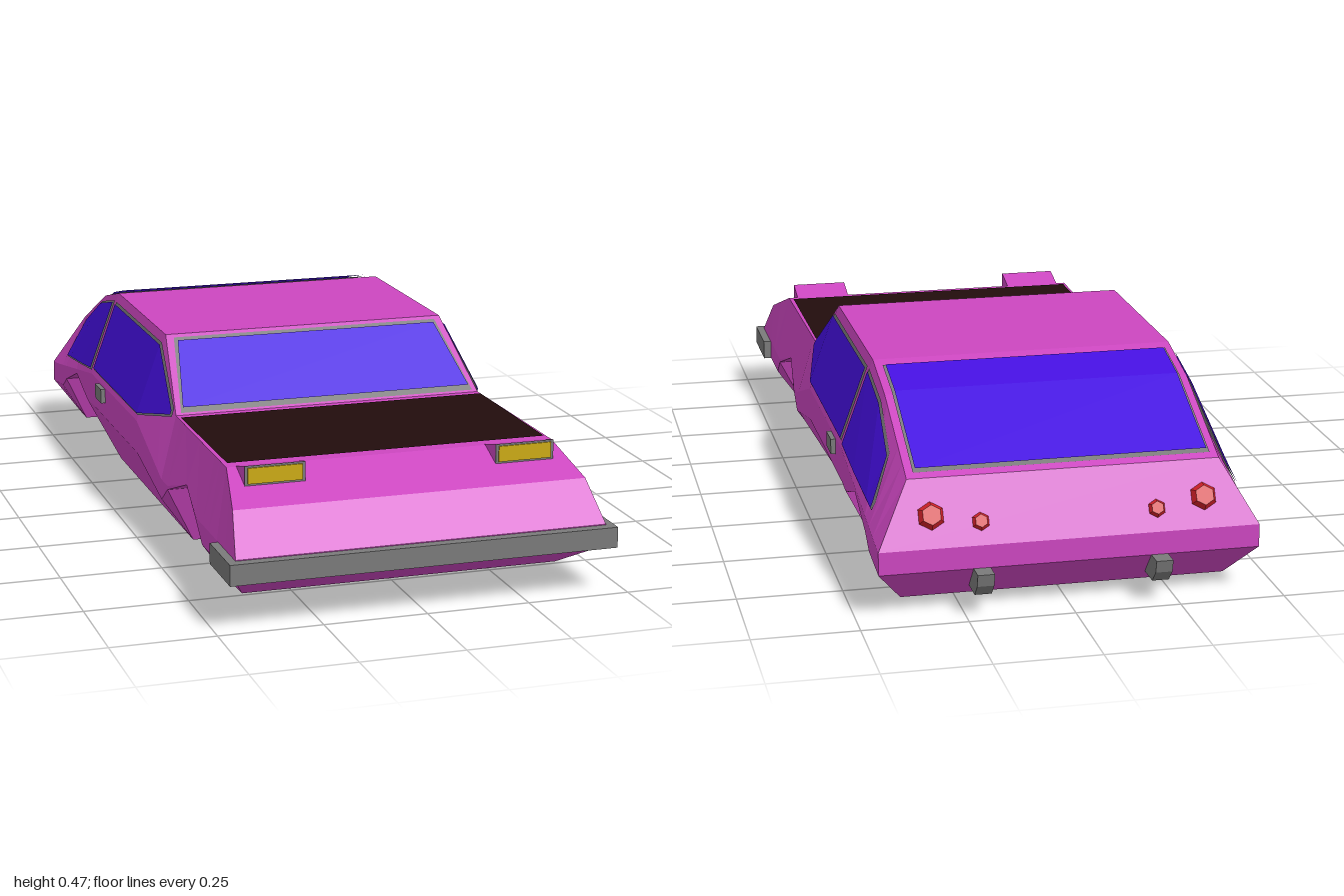
import * as THREE from 'three';

const mat = (name, color, side = THREE.FrontSide) => {
  const m = new THREE.MeshStandardMaterial({ color, side });
  m.name = name;
  return m;
};

// Body profiles along the car, each a list of [z, value] from front to back
const floorY = [[0.975, 0.113], [0.82, 0.03], [0.69, 0.012], [0.31, 0], [-0.57, 0], [-0.88, 0.025], [-0.955, 0.11]];
const waistY = [[0.975, 0.113], [0.31, 0.113], [0.06, 0.165], [-0.45, 0.165], [-0.955, 0.11]];
const shoulderY = [[0.975, 0.163], [0.31, 0.165], [0.06, 0.25], [-0.45, 0.25], [-0.955, 0.163]];
const topY = [[0.975, 0.165], [0.89, 0.255], [0.745, 0.313], [0.27, 0.313], [0.06, 0.47], [-0.45, 0.47],
  [-0.61, 0.43], [-0.88, 0.31], [-0.955, 0.165]];
const topX = [[0.975, 0.45], [0.89, 0.432], [0.745, 0.405], [0.27, 0.4], [0.06, 0.37], [-0.88, 0.37], [-0.955, 0.45]];
const archY = [[0.69, 0], [0.64, 0.155], [0.505, 0.205], [0.37, 0.155], [0.31, 0],
  [-0.46, 0], [-0.5, 0.155], [-0.64, 0.205], [-0.78, 0.155], [-0.83, 0]];
const WIDE = 0.45, WELL = 0.26;

function at(list, z) {
  if (z >= list[0][0]) return list[0][1];
  for (let i = 1; i < list.length; i++) {
    const [z0, a] = list[i - 1], [z1, b] = list[i];
    if (z >= z1) return a + (b - a) * (z0 - z) / (z0 - z1);
  }
  return list[list.length - 1][1];
}

// Half-width of the body side at a given length and height
function sideX(z, y) {
  const w = at(waistY, z), s = at(shoulderY, z), t = at(topY, z);
  if (y <= w) return 0.37 + (WIDE - 0.37) * y / w;
  if (y <= s) return WIDE;
  return WIDE + (at(topX, z) - WIDE) * Math.min(1, (y - s) / (t - s));
}

function flatGeometry(tris) {
  const g = new THREE.BufferGeometry();
  g.setAttribute('position', new THREE.Float32BufferAttribute(tris.flat(), 3));
  g.computeVertexNormals();
  return g;
}

// Loft of the whole shell, with the wheel wells cut into the section
function bodyGeometry() {
  const zs = [...new Set([floorY, waistY, topY, archY].flat().map(p => p[0]))].sort((a, b) => b - a);
  const rings = zs.map(z => {
    const yb = at(floorY, z), h = Math.max(yb, at(archY, z));
    const yw = Math.max(h, at(waistY, z)), ys = Math.max(h, at(shoulderY, z));
    const half = [[WELL, yb], [WELL, h], [sideX(z, h), h], [sideX(z, yw), yw], [sideX(z, ys), ys],
      [at(topX, z), at(topY, z)]];
    return [...half, ...half.map(([x, y]) => [-x, y]).reverse()].map(([x, y]) => [x, y, z]);
  });
  const tris = [], n = rings[0].length;
  for (let i = 0; i < rings.length - 1; i++) {
    for (let j = 0; j < n; j++) {
      const k = (j + 1) % n, r = rings[i], s = rings[i + 1];
      tris.push(r[j], s[j], r[k], r[k], s[j], s[k]);
    }
  }
  const front = rings[0], back = rings[rings.length - 1];
  for (let k = 1; k < n - 1; k++) {
    tris.push(front[0], front[k], front[k + 1], back[0], back[k + 1], back[k]);
  }
  return flatGeometry(tris);
}

// Sheet joining successive pairs of points
function strip(pairs) {
  const tris = [];
  for (let i = 0; i < pairs.length - 1; i++) {
    const [a, b] = pairs[i], [c, d] = pairs[i + 1];
    tris.push(a, c, b, b, c, d);
  }
  return flatGeometry(tris);
}

// Sheet lying on the top of the body: rows of [z, half-width]
const topSheet = (rows, lift) => strip(rows.map(([z, x]) => {
  const y = at(topY, z) + lift;
  return [[x, y, z], [-x, y, z]];
}));

// Sheet lying on a body side: columns of [z, low, high]
const sideSheet = (cols, s, lift) => strip(cols.map(([z, lo, hi]) =>
  [lo, hi].map(y => [s * (sideX(z, y) + lift), y, z])));

// Side outline [z, y] extruded across x
function prism(points, width) {
  const shape = new THREE.Shape(points.map(([z, y]) => new THREE.Vector2(-z, y)));
  const g = new THREE.ExtrudeGeometry(shape, { depth: width, bevelEnabled: false });
  return g.translate(0, 0, -width / 2).rotateY(Math.PI / 2);
}

export function createModel() {
  const paint = mat('magenta paint', 0xcc46c0);
  const glass = mat('blue glass', 0x450fe0, THREE.DoubleSide);
  const trim = mat('grey metal', 0x7a7a7a, THREE.DoubleSide);
  const black = mat('black hood', 0x220d0d, THREE.DoubleSide);
  const yellow = mat('yellow lamp', 0xccaa11);
  const red = mat('red lamp', 0xd02028);

  const car = new THREE.Group();
  car.name = 'car';
  const add = (name, geometry, material, x = 0, y = 0, z = 0) => {
    const m = new THREE.Mesh(geometry, material);
    m.name = name;
    m.position.set(x, y, z);
    car.add(m);
    return m;
  };

  add('body', bodyGeometry(), paint);
  add('hoodPanel', topSheet([[0.72, 0.396], [0.3, 0.396]], 0.003), black);
  add('frontBumper', new THREE.BoxGeometry(0.94, 0.05, 0.17), trim, 0, 0.138, 0.915);

  // Windscreen and rear window, each on a slightly larger frame
  add('windscreenFrame', topSheet([[0.267, 0.386], [0.072, 0.352]], 0.003), trim);
  add('windscreen', topSheet([[0.258, 0.379], [0.085, 0.345]], 0.008), glass);
  add('rearWindowFrame', topSheet([[-0.483, 0.352], [-0.61, 0.352], [-0.865, 0.352]], 0.003), trim);
  add('rearWindow', topSheet([[-0.49, 0.346], [-0.61, 0.346], [-0.858, 0.346]], 0.008), glass);

  const frontPane = [[0.25, 0.312, 0.322], [0.06, 0.27, 0.445], [-0.43, 0.27, 0.445]];
  const rearPane = [[-0.46, 0.265, 0.445], [-0.61, 0.245, 0.41], [-0.76, 0.226, 0.33], [-0.803, 0.22, 0.228]];
  const grow = cols => cols.map(([z, lo, hi], i) =>
    [z + (i === 0 ? 0.005 : i === cols.length - 1 ? -0.005 : 0), lo - 0.005, hi + 0.005]);

  for (const s of [1, -1]) {
    const side = s > 0 ? 'left' : 'right';
    // Side windows
    add(side + 'FrontWindowFrame', sideSheet(grow(frontPane), s, 0.003), trim);
    add(side + 'FrontWindow', sideSheet(frontPane, s, 0.007), glass);
    add(side + 'RearWindowFrame', sideSheet(grow(rearPane), s, 0.003), trim);
    add(side + 'RearWindow', sideSheet(rearPane, s, 0.007), glass);
    add(side + 'DoorHandle', new THREE.BoxGeometry(0.03, 0.038, 0.068), trim, s * 0.447, 0.226, -0.325);

    // Raised headlight: wedge pod, dark rim and lamp
    add(side + 'HeadlightPod', prism([[0.812, 0.333], [0.73, 0.311], [0.812, 0.285]], 0.146), paint, s * 0.308);
    add(side + 'HeadlightRim', new THREE.BoxGeometry(0.146, 0.047, 0.004), trim, s * 0.308, 0.309, 0.812);
    add(side + 'Headlight', new THREE.BoxGeometry(0.132, 0.038, 0.006), yellow, s * 0.308, 0.309, 0.814);

    // Faceted tail lamps on the sloping back
    for (const [name, x, y, z, r] of [['Outer', 0.322, 0.232, -0.92, 0.043], ['Inner', 0.208, 0.214, -0.93, 0.028]]) {
      const g = new THREE.CylinderGeometry(r * 0.55, r, r * 0.7, 6).toNonIndexed();
      g.computeVertexNormals();
      add(side + name + 'TailLamp', g, red, s * x, y, z).rotation.x = -Math.atan2(0.145, 0.075);
    }

    // Downturned exhaust tip
    add(side + 'Exhaust', prism([[-0.88, 0.11], [-1, 0.11], [-0.993, 0.08], [-0.965, 0.05], [-0.9, 0.05]], 0.04),
      trim, s * 0.21);
  }
  return car;
}
